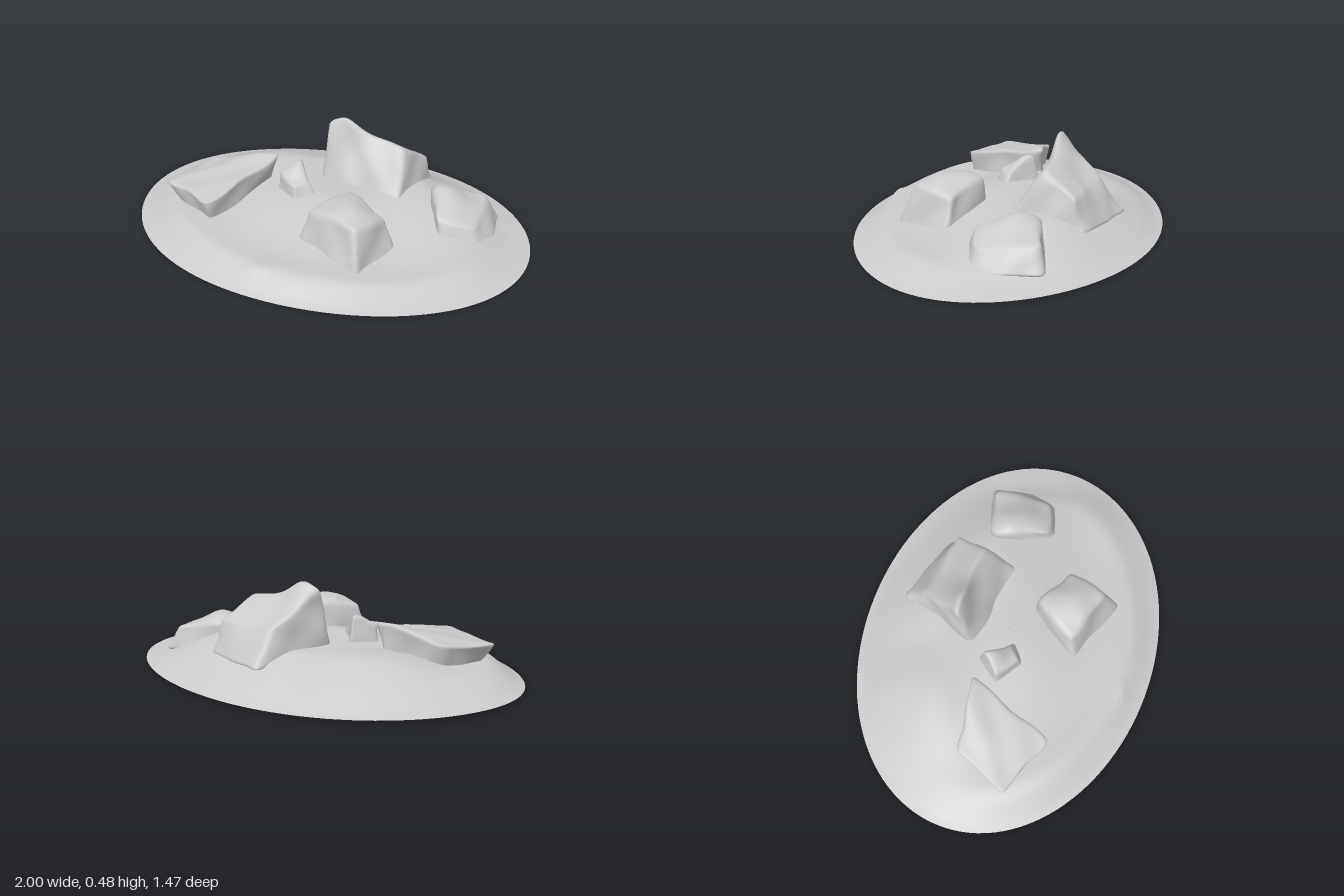
import * as THREE from 'three';
import { mergeVertices } from 'three/addons/utils/BufferGeometryUtils.js';

const grey = new THREE.MeshStandardMaterial({ color: 0xcccccc });
const greyOpen = new THREE.MeshStandardMaterial({ color: 0xcccccc, side: THREE.DoubleSide });
const { lerp, smoothstep } = THREE.MathUtils;

// Soft bump of height k and radius r around (bx, bz)
const bump = ([bx, bz, r, k], x, z) => k * Math.exp(-((x - bx) ** 2 + (z - bz) ** 2) / (r * r));

// Height along a radius: a lip rising from the rim, then a slope to the middle
const frontHeight = r => 0.01 + 0.09 * smoothstep(1 - r, -0.03, 0.22) + 0.085 * smoothstep(1 - r, 0.3, 1);
const backHeight = r => 0.01 + 0.175 * smoothstep(1 - r, -0.08, 0.54);

// Open sand mound: elliptical plan, steep lip at the front, long slope at the back
function buildMound() {
  const bumps = [[0.3, -0.1, 0.14, 0.015], [-0.22, -0.42, 0.12, -0.02], [-0.45, -0.5, 0.12, 0.012],
    [-0.11, 0.62, 0.03, 0.02], [0.5, 0.4, 0.3, -0.028], [0.85, -0.02, 0.25, -0.025], [-0.65, 0.35, 0.2, 0.008]];
  const ring = new THREE.RingGeometry(0.002, 1, 112, 44);
  ring.rotateX(-Math.PI / 2);
  ring.deleteAttribute('uv');
  ring.deleteAttribute('normal');
  const geo = mergeVertices(ring, 1e-5);
  const p = geo.attributes.position;
  for (let i = 0; i < p.count; i++) {
    const x = p.getX(i), uz = p.getZ(i), r = Math.hypot(x, uz), z = uz * 0.735;
    const fade = smoothstep(1 - r, 0, 0.15);
    let y = lerp(backHeight(r), frontHeight(r), smoothstep(uz, -0.45, 0.45));
    y += fade * bumps.reduce((sum, b) => sum + bump(b, x, z), 0);
    y += fade * 0.005 * Math.sin(7 * x + 2) * Math.sin(9 * z + 1);
    // rim dips gently to the ground
    y -= (1 - fade) * 0.005 * (1 + Math.sin(3 * Math.atan2(uz, x) + 0.6));
    p.setXYZ(i, x, Math.max(0, y), z);
  }
  geo.computeVertexNormals();
  const mesh = new THREE.Mesh(geo, greyOpen);
  mesh.name = 'sandMound';
  return mesh;
}

// Rounded, chipped block between a top outline [x, y, z] and a foot outline [x, z].
// Corner order: front left, front right, back right, back left as seen from the front.
function buildRock({ name, top, foot, base, peak, round, seed }) {
  const bottom = foot.map(([x, z]) => [x, base, z]);
  const box = new THREE.BoxGeometry(2, 2, 2, 18, 18, 18);
  box.deleteAttribute('uv');
  box.deleteAttribute('normal');
  const geo = mergeVertices(box, 1e-4);
  const p = geo.attributes.position;
  const v = new THREE.Vector3(), core = new THREE.Vector3();
  const high = new THREE.Vector3().setScalar(1 - round);
  const low = high.clone().negate();
  // chips and hollows
  const chip = (a, b, c) => 0.008 * (Math.sin(19 * a + 13 * b + seed) * Math.sin(17 * c + 2 * seed)
    + 0.5 * Math.sin(31 * b + 23 * c + 3 * seed));
  for (let i = 0; i < p.count; i++) {
    v.fromBufferAttribute(p, i);
    core.copy(v).clamp(low, high);
    v.sub(core).normalize().multiplyScalar(round).add(core).multiplyScalar(1.03);
    const s = (v.x + 1) / 2, h = (v.y + 1) / 2, t = (1 - v.z) / 2;
    const weights = [(1 - s) * (1 - t), s * (1 - t), s * t, (1 - s) * t];
    const [x, y, z] = [0, 1, 2].map(a =>
      weights.reduce((sum, k, c) => sum + k * lerp(bottom[c][a], top[c][a], h), 0));
    const lift = h * (bump(peak, x, z) + 0.7 * chip(y, z, x));
    p.setXYZ(i, x + chip(x, y, z), y + lift, z + chip(z, x, y));
  }
  geo.computeVertexNormals();
  const mesh = new THREE.Mesh(geo, grey);
  mesh.name = name;
  return mesh;
}

export function createModel() {
  const model = new THREE.Group();
  model.name = 'rockyMound';
  model.add(buildMound());

  // Tall wedge: steep face to the front, long slope to the back
  model.add(buildRock({
    name: 'tallRock', seed: 1, round: 0.13, base: 0.12,
    top: [[-0.11, 0.43, -0.23], [0.28, 0.38, -0.23], [0.36, 0.27, -0.39], [0.03, 0.29, -0.43]],
    foot: [[-0.11, -0.14], [0.33, -0.03], [0.39, -0.43], [0.02, -0.57]],
    peak: [-0.01, -0.22, 0.1, 0.065],
  }));
  // Flat slab, undercut at its outer end
  model.add(buildRock({
    name: 'slabRock', seed: 2.3, round: 0.14, base: 0.08,
    top: [[-0.79, 0.19, 0.23], [-0.48, 0.21, 0.35], [-0.32, 0.29, -0.08], [-0.68, 0.22, -0.03]],
    foot: [[-0.72, 0.22], [-0.48, 0.33], [-0.37, -0.06], [-0.64, -0.01]],
    peak: [-0.42, -0.1, 0.1, 0.02],
  }));
  model.add(buildRock({
    name: 'frontRock', seed: 4.1, round: 0.18, base: 0.05,
    top: [[0.01, 0.25, 0.31], [0.29, 0.26, 0.39], [0.37, 0.23, 0.2], [0.15, 0.26, 0.1]],
    foot: [[-0.02, 0.34], [0.33, 0.49], [0.43, 0.2], [0.14, 0.08]],
    peak: [0.19, 0.25, 0.13, 0.05],
  }));
  model.add(buildRock({
    name: 'sideRock', seed: 5.2, round: 0.26, base: 0.05,
    top: [[0.54, 0.19, 0.02], [0.73, 0.15, -0.03], [0.7, 0.18, -0.31], [0.45, 0.21, -0.25]],
    foot: [[0.58, 0.08], [0.79, 0], [0.78, -0.34], [0.43, -0.26]],
    peak: [0.55, -0.16, 0.1, 0.055],
  }));
  model.add(buildRock({
    name: 'smallRock', seed: 6.6, round: 0.2, base: 0.12,
    top: [[-0.26, 0.25, 0.02], [-0.15, 0.23, 0.09], [-0.11, 0.23, 0.03], [-0.19, 0.29, -0.07]],
    foot: [[-0.28, 0.02], [-0.15, 0.13], [-0.03, 0.06], [-0.18, -0.1]],
    peak: [-0.19, -0.02, 0.05, 0.02],
  }));
  return model;
}
